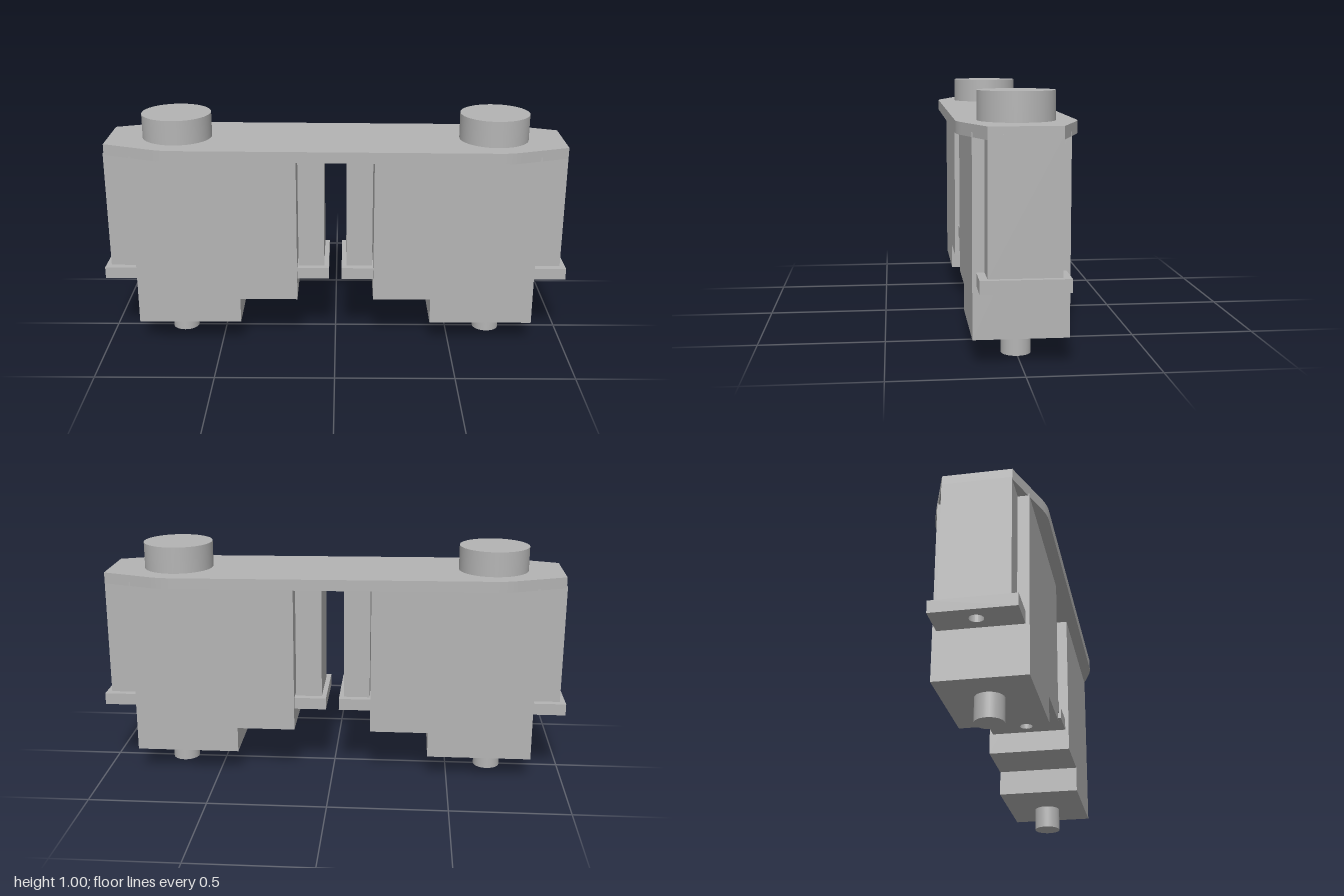
import * as THREE from 'three';

export function createModel() {
  const model = new THREE.Group();
  const grey = new THREE.MeshStandardMaterial({ color: 0xb4b4b4 });
  grey.name = 'plain grey';

  const add = (parent, name, geometry, x = 0, y = 0, z = 0) => {
    const mesh = new THREE.Mesh(geometry, grey);
    mesh.name = name;
    mesh.position.set(x, y, z);
    parent.add(mesh);
    return mesh;
  };
  const outline = (points) => new THREE.Shape(points.map(([x, y]) => new THREE.Vector2(x, y)));
  const extrude = (shape, depth) =>
    new THREE.ExtrudeGeometry(shape, { depth, bevelEnabled: false, curveSegments: 16 });

  // Top plate: long strip with tapered ends and softened shoulders, tilted very slightly
  const top = new THREE.Shape();
  top.moveTo(-0.975, -0.135);
  top.lineTo(-0.765, -0.212);
  top.quadraticCurveTo(-0.72, -0.228, -0.68, -0.228);
  top.lineTo(0.68, -0.228);
  top.quadraticCurveTo(0.72, -0.228, 0.765, -0.212);
  top.lineTo(0.975, -0.135);
  top.lineTo(0.975, 0.135);
  top.lineTo(0.765, 0.212);
  top.quadraticCurveTo(0.72, 0.228, 0.68, 0.228);
  top.lineTo(-0.68, 0.228);
  top.quadraticCurveTo(-0.72, 0.228, -0.765, 0.212);
  top.lineTo(-0.975, 0.135);
  top.closePath();
  const plateGeometry = extrude(top, 0.047);
  plateGeometry.rotateX(-Math.PI / 2);
  plateGeometry.translate(0, -0.0235, 0);
  add(model, 'topPlate', plateGeometry, 0.002, 0.871).rotation.z = -0.0058;

  // Two mirrored motor units
  for (const side of [-1, 1]) {
    const unit = new THREE.Group();
    unit.name = side > 0 ? 'leftMotor' : 'rightMotor';
    model.add(unit);

    // Stepped housing
    const profile = outline([
      [0.165, 0.21], [0.415, 0.21], [0.415, 0.1], [0.861, 0.1], [0.861, 0.86], [0.165, 0.86],
    ].map(([x, y]) => [side * x, y]));
    add(unit, 'housing', extrude(profile, 0.36), 0, 0, -0.18);

    // Upper cap and lower shaft
    add(unit, 'cap', new THREE.CylinderGeometry(0.148, 0.148, 0.13, 48), side * 0.68, 0.938);
    add(unit, 'shaft', new THREE.CylinderGeometry(0.058, 0.058, 0.11, 32), side * 0.685, 0.055);

    // Support posts standing on drilled mounting tabs, on both ends of the housing
    const ends = [
      { post: [0.048, 0.16], tab: [0.028, 0.165] },
      { post: [0.866, 0.977], tab: [0.861, 1.0] },
    ];
    for (const { post, tab } of ends) {
      const postWidth = post[1] - post[0];
      add(unit, 'post', new THREE.BoxGeometry(postWidth, 0.51, 0.27),
        side * (post[0] + postWidth / 2), 0.605);

      const halfWidth = (tab[1] - tab[0]) / 2;
      const plate = outline([
        [-halfWidth, -0.165], [halfWidth, -0.165], [halfWidth, 0.165], [-halfWidth, 0.165],
      ]);
      const hole = new THREE.Path();
      hole.absarc(0, 0, 0.028, 0, Math.PI * 2, true);
      plate.holes.push(hole);
      const tabGeometry = extrude(plate, 0.05);
      tabGeometry.rotateX(-Math.PI / 2);
      add(unit, 'mountingTab', tabGeometry, side * (tab[0] + halfWidth), 0.302);
    }
  }
  return model;
}
